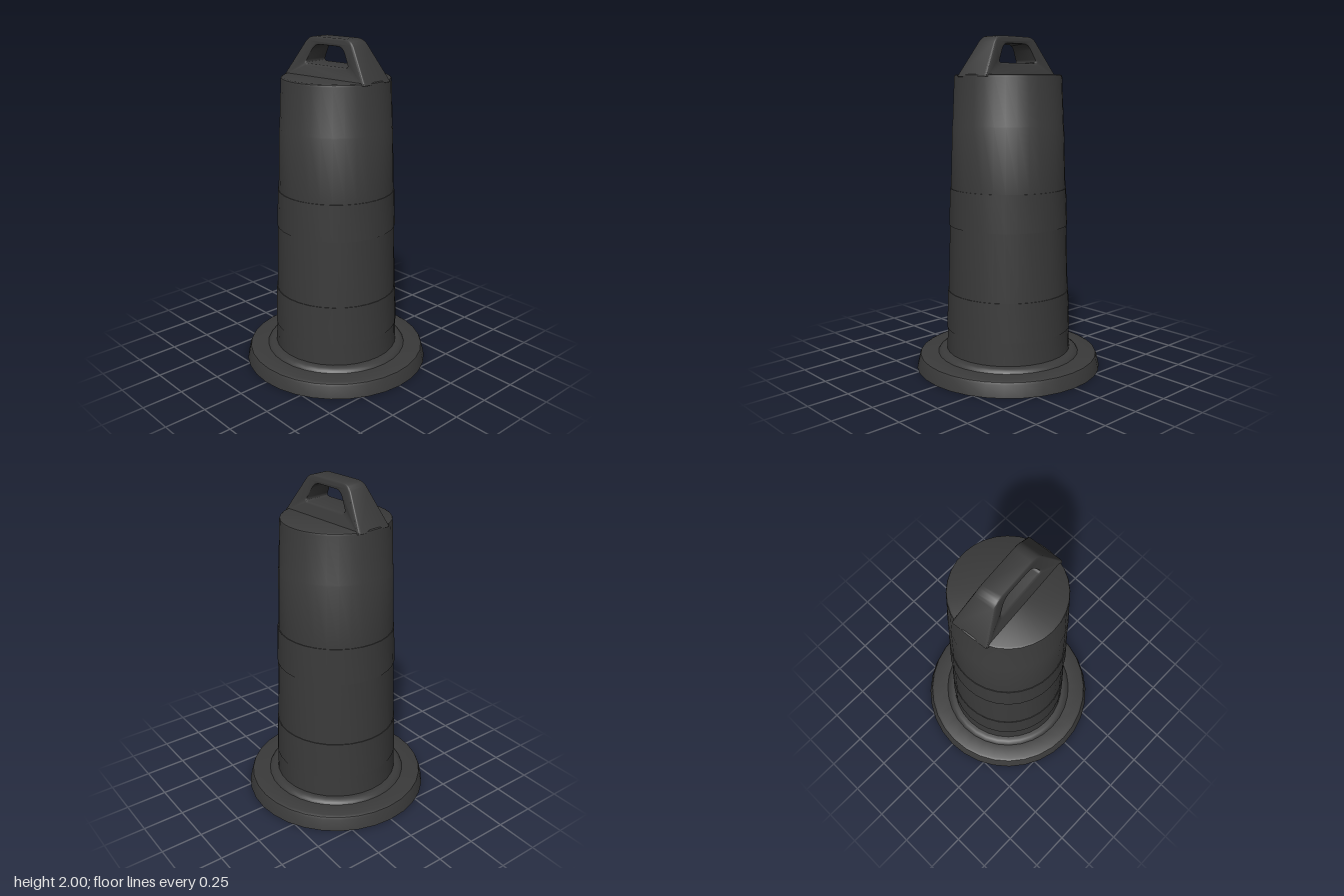
import * as THREE from 'three';
import { toCreasedNormals } from 'three/addons/utils/BufferGeometryUtils.js';

const material = new THREE.MeshStandardMaterial({ color: 0x3a3a3a });

function part(name, geometry) {
  const mesh = new THREE.Mesh(toCreasedNormals(geometry, 0.6), material);
  mesh.name = name;
  return mesh;
}

function lathe(points) {
  return new THREE.LatheGeometry(points.map(([r, y]) => new THREE.Vector2(r, y)), 32);
}

// Trapezoid with rounded corners, from y0 to y1
function trapezoid(Type, low, high, y0, y1, rLow, rHigh) {
  const corners = [[-low, y0, rLow], [low, y0, rLow], [high, y1, rHigh], [-high, y1, rHigh]];
  const path = new Type();
  corners.forEach(([x, y, r], i) => {
    const toward = ([ax, ay]) => {
      const d = new THREE.Vector2(ax - x, ay - y).setLength(r);
      return [x + d.x, y + d.y];
    };
    const a = toward(corners[(i + 3) % 4]);
    const b = toward(corners[(i + 1) % 4]);
    if (i === 0) path.moveTo(...a); else path.lineTo(...a);
    path.quadraticCurveTo(x, y, ...b);
  });
  path.closePath();
  return path;
}

export function createModel() {
  const group = new THREE.Group();
  group.name = 'trafficDrum';

  // Weighted ring at the foot, with a raised inner lip
  group.add(part('base', lathe([
    [0, 0], [0.565, 0], [0.549, 0.07], [0.543, 0.083], [0.528, 0.09],
    [0.433, 0.09], [0.426, 0.101], [0.41, 0.111], [0.395, 0.115], [0.3, 0.115],
  ])));

  // Tapered drum; two slightly raised bands
  group.add(part('drum', lathe([
    [0.38, 0.1], [0.374, 0.252], [0.378, 0.252], [0.37, 0.485], [0.366, 0.485],
    [0.354, 0.888], [0.359, 0.888], [0.35, 1.11], [0.346, 1.11],
    [0.334, 1.485], [0.332, 1.49], [0.32, 1.765], [0.317, 1.775], [0.308, 1.78], [0, 1.78],
  ])));

  // Carrying handle: pierced trapezoid, thinner toward the top
  const shape = trapezoid(THREE.Shape, 0.317, 0.162, 1.765, 2, 0.01, 0.045);
  shape.holes.push(trapezoid(THREE.Path, 0.168, 0.106, 1.846, 1.957, 0.025, 0.04));
  const bevel = 0.012;
  const handle = new THREE.ExtrudeGeometry(shape, {
    depth: 2 - 2 * bevel, curveSegments: 5, bevelEnabled: true,
    bevelThickness: bevel * 10, bevelSize: bevel, bevelOffset: -bevel, bevelSegments: 3,
  });
  handle.center();
  handle.rotateY(Math.PI / 2);
  handle.translate(0, 1.8825, 0);
  const p = handle.attributes.position;
  for (let i = 0; i < p.count; i++) {
    const t = (p.getY(i) - 1.78) / 0.22;
    const half = THREE.MathUtils.lerp(0.097, 0.06, t) + 0.012 * Math.max(0, 0.15 - t) / 0.15;
    p.setX(i, p.getX(i) * half / 1.108);
  }
  const handleMesh = part('handle', handle);
  handleMesh.rotation.y = 0.093;
  group.add(handleMesh);

  return group;
}
